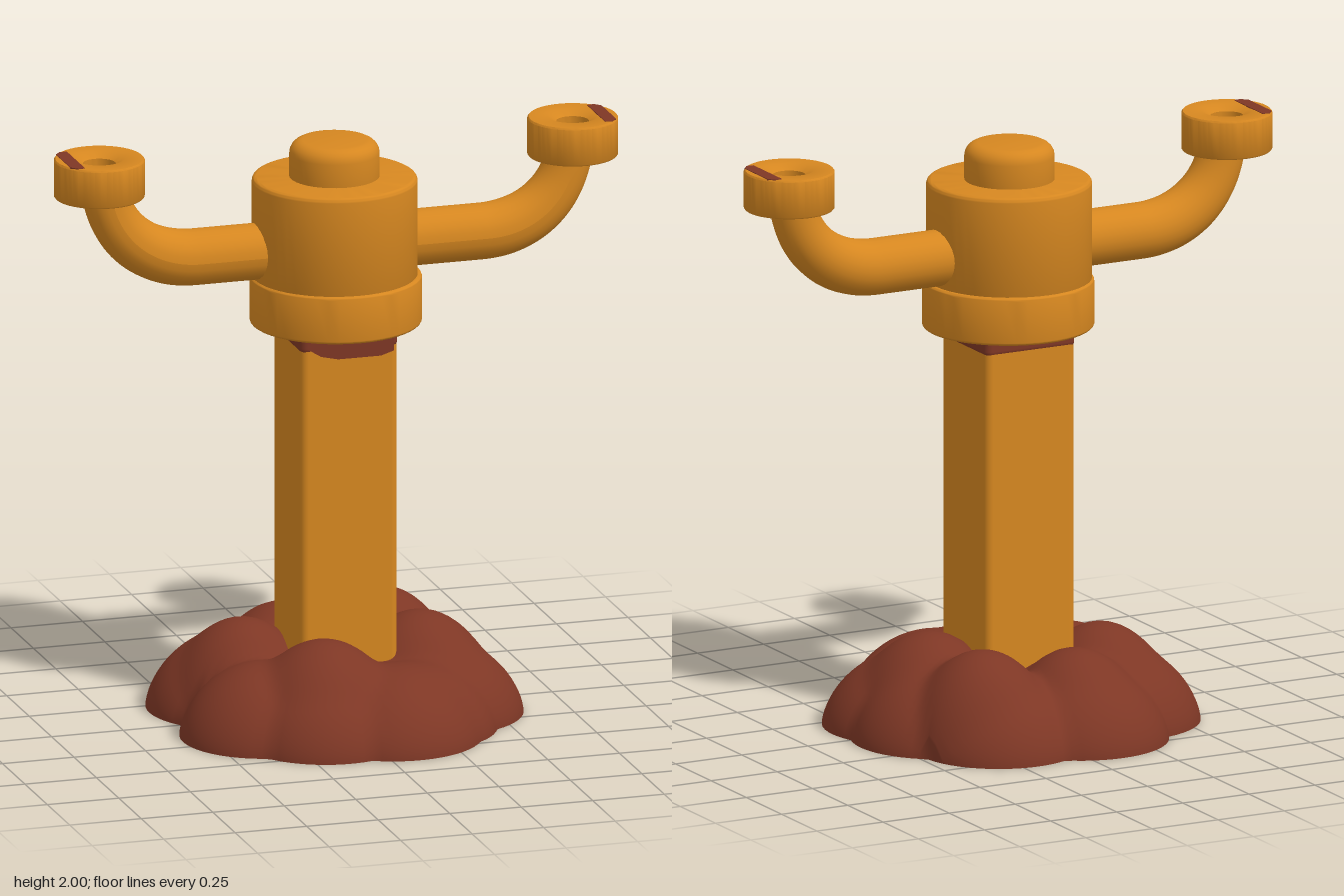
import * as THREE from 'three';
import { RoundedBoxGeometry } from 'three/addons/geometries/RoundedBoxGeometry.js';
import { toCreasedNormals } from 'three/addons/utils/BufferGeometryUtils.js';

const ochre = new THREE.MeshStandardMaterial({ color: 0xd68720 });
ochre.name = 'ochre';
const soil = new THREE.MeshStandardMaterial({ color: 0x7e3725 });
soil.name = 'soil brown';

function add(parent, name, geometry, material, x = 0, y = 0, z = 0) {
  const mesh = new THREE.Mesh(geometry, material);
  mesh.name = name;
  mesh.position.set(x, y, z);
  parent.add(mesh);
  return mesh;
}

function lathe(points, segments = 48) {
  const profile = points.map(([r, y]) => new THREE.Vector2(r, y));
  return toCreasedNormals(new THREE.LatheGeometry(profile, segments), 0.7);
}

// Thin plate with a polygon outline
function plate(points, depth) {
  const shape = new THREE.Shape(points.map(([x, y]) => new THREE.Vector2(x, y)));
  return new THREE.ExtrudeGeometry(shape, { depth, bevelEnabled: false });
}

// Solid drum with softly bevelled rims
function drum(r, y0, y1, b) {
  const pts = [[0, y0]];
  for (let i = 0; i <= 4; i++) {
    const a = (i / 4) * Math.PI / 2;
    pts.push([r - 0.01 + 0.01 * Math.sin(a), y0 + 0.01 - 0.01 * Math.cos(a)]);
  }
  for (let i = 0; i <= 5; i++) {
    const a = (i / 5) * Math.PI / 2;
    pts.push([r - b + b * Math.cos(a), y1 - b + b * Math.sin(a)]);
  }
  pts.push([0, y1]);
  return lathe(pts);
}

// Lumps of the mound: centre x, centre z, radius, height
const rimLumps = [
  [-0.10, -0.34, 0.295, 0.25], [0.20, -0.32, 0.28, 0.25],
  [0.31, -0.10, 0.295, 0.25], [0.31, 0.10, 0.295, 0.25],
  [0.09, 0.33, 0.30, 0.24], [0.20, 0.27, 0.26, 0.22],
  [-0.14, 0.31, 0.29, 0.25], [-0.32, 0.19, 0.28, 0.25],
  [-0.31, -0.17, 0.295, 0.26],
];
const innerLumps = [
  [-0.13, 0.26, 0.28, 0.33], [0.28, 0.02, 0.27, 0.33], [0.24, -0.28, 0.26, 0.33],
  [-0.30, -0.10, 0.26, 0.32], [-0.10, -0.30, 0.25, 0.30], [0, 0, 0.45, 0.23],
];
const lumps = [...rimLumps, ...innerLumps];

// Smoothly blended height of all lumps
function moundHeight(x, z) {
  let sum = 0;
  for (const [cx, cz, r, top] of lumps) {
    const d = ((x - cx) ** 2 + (z - cz) ** 2) / (r * r);
    if (d < 1) sum += (top * (1 - d) ** 0.62) ** 14;
  }
  return sum ** (1 / 14);
}

// Distance from the middle to the lumpy rim at an angle
function moundRim(a) {
  let rim = 0;
  for (const [cx, cz, r] of rimLumps) {
    const along = cx * Math.cos(a) + cz * Math.sin(a);
    const across = cx * Math.sin(a) - cz * Math.cos(a);
    if (Math.abs(across) < r) rim = Math.max(rim, along + Math.sqrt(r * r - across * across));
  }
  return rim;
}

function moundGeometry() {
  const N = 120, M = 28, pos = [], idx = [];
  for (let j = 0; j <= M; j++) {
    const s = Math.sin((j / M) * Math.PI / 2);
    for (let i = 0; i < N; i++) {
      const a = (i / N) * Math.PI * 2, r = moundRim(a) * s;
      const x = r * Math.cos(a), z = r * Math.sin(a);
      pos.push(x, j === M ? 0 : moundHeight(x, z), z);
    }
  }
  for (let j = 0; j < M; j++) {
    for (let i = 0; i < N; i++) {
      const k = (i + 1) % N;
      const a = j * N + i, b = j * N + k, c = a + N, d = b + N;
      if (j > 0) idx.push(a, b, c);
      idx.push(b, d, c);
    }
  }
  const g = new THREE.BufferGeometry();
  g.setAttribute('position', new THREE.Float32BufferAttribute(pos, 3));
  g.setIndex(idx);
  g.computeVertexNormals();
  return g;
}

// Flat underside following the same rim
function moundFloor() {
  const rim = [];
  for (let i = 0; i < 120; i++) {
    const a = (i / 120) * Math.PI * 2, r = moundRim(a);
    rim.push(new THREE.Vector2(r * Math.cos(a), r * Math.sin(a)));
  }
  return new THREE.ShapeGeometry(new THREE.Shape(rim)).rotateX(Math.PI / 2);
}

// Bent pipe that narrows towards its upper end
function pipeGeometry(path) {
  const rings = 48, sides = 24;
  const g = new THREE.TubeGeometry(path, rings, 0.095, sides);
  const pos = g.attributes.position, p = new THREE.Vector3();
  for (let i = 0; i <= rings; i++) {
    const centre = path.getPointAt(i / rings);
    const scale = 1 - 0.17 * THREE.MathUtils.smoothstep(i / rings, 0.5, 1);
    for (let j = 0; j <= sides; j++) {
      const k = i * (sides + 1) + j;
      p.fromBufferAttribute(pos, k).sub(centre).multiplyScalar(scale).add(centre);
      pos.setXYZ(k, p.x, p.y, p.z);
    }
  }
  g.computeVertexNormals();
  return g;
}

// Arm with an open cup at its end
function createArm(side) {
  const arm = new THREE.Group();
  arm.name = side > 0 ? 'leftArm' : 'rightArm';
  const cupX = side > 0 ? 0.823 : -0.832;
  const path = new THREE.CurvePath();
  const v = (x, y) => new THREE.Vector3(side * x, y, -0.006);
  path.add(new THREE.LineCurve3(v(0.15, 1.625), v(0.5, 1.625)));
  path.add(new THREE.CubicBezierCurve3(v(0.5, 1.625), v(0.66, 1.625), v(0.79, 1.72), v(0.813, 1.89)));
  add(arm, 'armPipe', pipeGeometry(path), ochre);

  const cup = [[0, 1.865], [0.148, 1.865], [0.152, 1.87], [0.152, 1.992],
    [0.147, 1.998], [0.085, 1.998], [0.055, 1.98], [0.055, 1.95], [0, 1.95]];
  add(arm, 'armCup', lathe(cup), ochre, cupX, 0, -0.004);

  const stain = plate([[0.082, -0.1], [0.106, -0.103], [0.126, -0.08],
    [0.126, 0.08], [0.106, 0.103], [0.082, 0.1]], 0.005);
  stain.rotateX(-Math.PI / 2).rotateY(side > 0 ? 0 : Math.PI);
  add(arm, 'cupStain', stain, soil, cupX, 1.995, -0.004);
  return arm;
}

export function createModel() {
  const model = new THREE.Group();
  model.name = 'pipeStand';

  // Earth mound
  add(model, 'mound', moundGeometry(), soil);
  add(model, 'moundUnderside', moundFloor(), soil);

  // Square post with a stained top that runs lower on the front
  add(model, 'post', new RoundedBoxGeometry(0.338, 1.3, 0.326, 3, 0.025), ochre, -0.008, 0.74, 0);
  add(model, 'postStain', new RoundedBoxGeometry(0.342, 0.1, 0.33, 3, 0.025), soil, -0.008, 1.345, 0);
  const frontStain = plate([[-0.15, 1.36], [-0.15, 1.315], [-0.11, 1.29], [-0.05, 1.276],
    [0.1, 1.276], [0.145, 1.29], [0.145, 1.36]], 0.005);
  add(model, 'postFrontStain', frontStain, soil, 0, 0, 0.161);

  // Head: collar, body and cap
  add(model, 'collar', drum(0.288, 1.36, 1.525, 0.012), ochre, -0.006, 0, -0.002);
  add(model, 'headBody', drum(0.277, 1.515, 1.865, 0.016), ochre, -0.01, 0, -0.002);
  add(model, 'headCap', drum(0.151, 1.85, 1.99, 0.045), ochre, -0.01, 0, -0.004);

  model.add(createArm(1), createArm(-1));
  return model;
}
